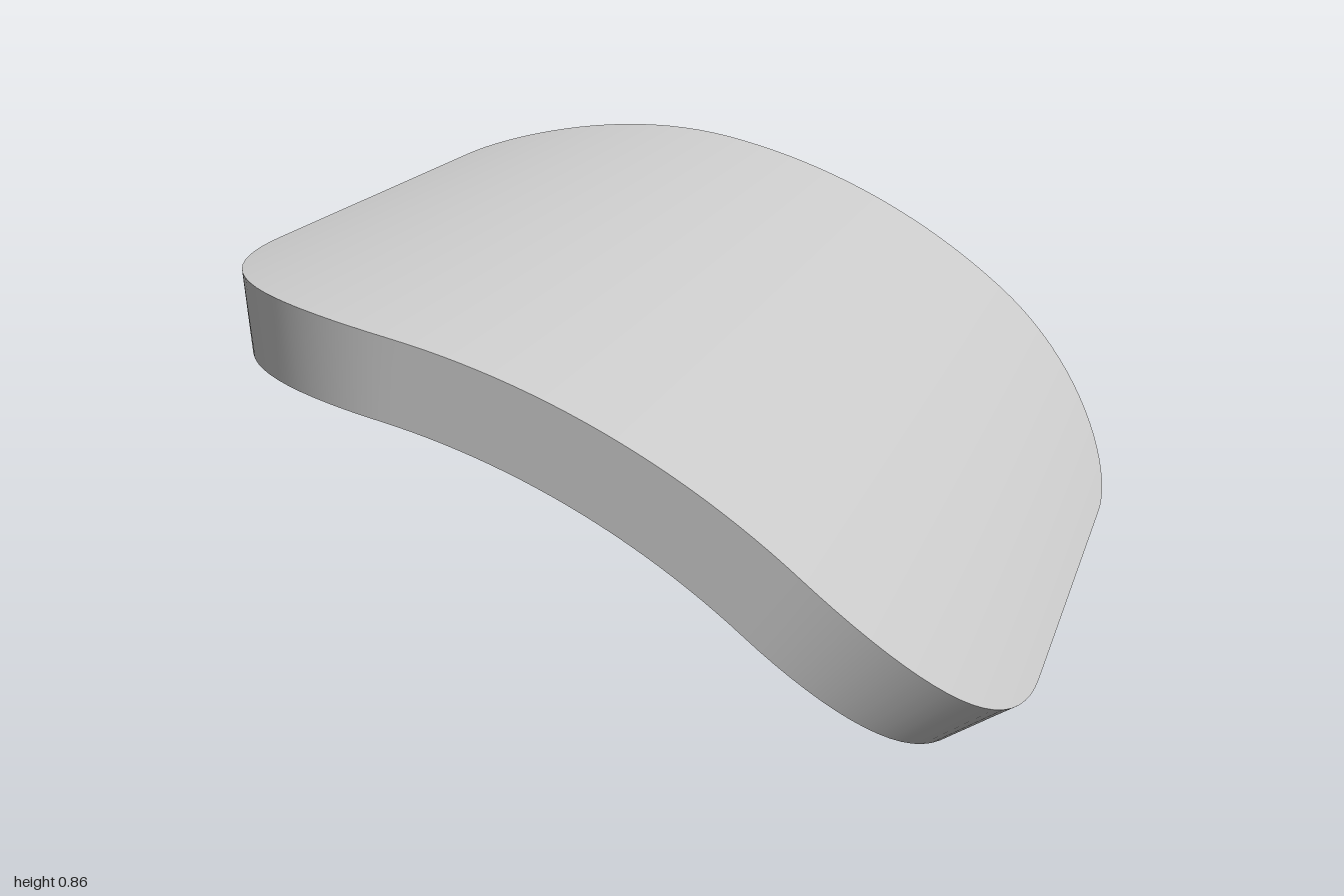
import * as THREE from 'three';

const R = 1.69, THICK = 0.159;           // outer radius of the bend, plate thickness
const CX = -0.614, CY = -0.826;          // bend centre
const MID = THREE.MathUtils.degToRad(25.35), HALF = THREE.MathUtils.degToRad(31.85);
const S = R * HALF, L = 0.98, CORNER = 0.52; // half sizes of the unrolled plate, corner radius

// Wrap a point of the unrolled plate (s along the bend, z across) onto radius r
function wrap(s, z, r) {
  const t = MID + s / R;
  return [CX + r * Math.sin(t), CY + r * Math.cos(t), z];
}

// Ribbon of quads between paired points
function ribbon(name, pairs, material) {
  const index = [];
  for (let i = 0; i < pairs.length - 1; i++) {
    const a = 2 * i;
    index.push(a, a + 1, a + 3, a, a + 3, a + 2);
  }
  const g = new THREE.BufferGeometry();
  g.setAttribute('position', new THREE.Float32BufferAttribute(pairs.flat(2), 3));
  g.setIndex(index);
  g.computeVertexNormals();
  const mesh = new THREE.Mesh(g, material);
  mesh.name = name;
  return mesh;
}

export function createModel() {
  const material = new THREE.MeshStandardMaterial({ color: 0xcccccc });

  // Half width of the rounded rectangle at stations along the bend
  const N = 20, M = 24, corner = [];
  for (let k = 0; k <= N; k++) {
    const a = (k / N) * Math.PI / 2;
    corner.push([-S + CORNER * (1 - Math.cos(a)), L - CORNER + CORNER * Math.sin(a)]);
  }
  const straight = [];
  for (let k = 1; k < M; k++) straight.push([(S - CORNER) * (2 * k / M - 1), L]);
  const rows = [...corner, ...straight, ...corner.map(([s, w]) => [-s, w]).reverse()];

  // Outline of the plate, starting and ending midway along one straight end
  const outline = [[-S, 0], ...rows, ...rows.map(([s, w]) => [s, -w]).reverse(), [-S, 0]];

  const plate = new THREE.Group();
  plate.name = 'curvedPlate';
  plate.add(
    ribbon('topFace', rows.map(([s, w]) => [wrap(s, -w, R), wrap(s, w, R)]), material),
    ribbon('underside', rows.map(([s, w]) => [wrap(s, w, R - THICK), wrap(s, -w, R - THICK)]), material),
    ribbon('rim', outline.map(([s, z]) => [wrap(s, z, R), wrap(s, z, R - THICK)]), material),
  );
  plate.rotation.y = -0.053; // slight twist about the vertical

  const model = new THREE.Group();
  model.add(plate);
  return model;
}
